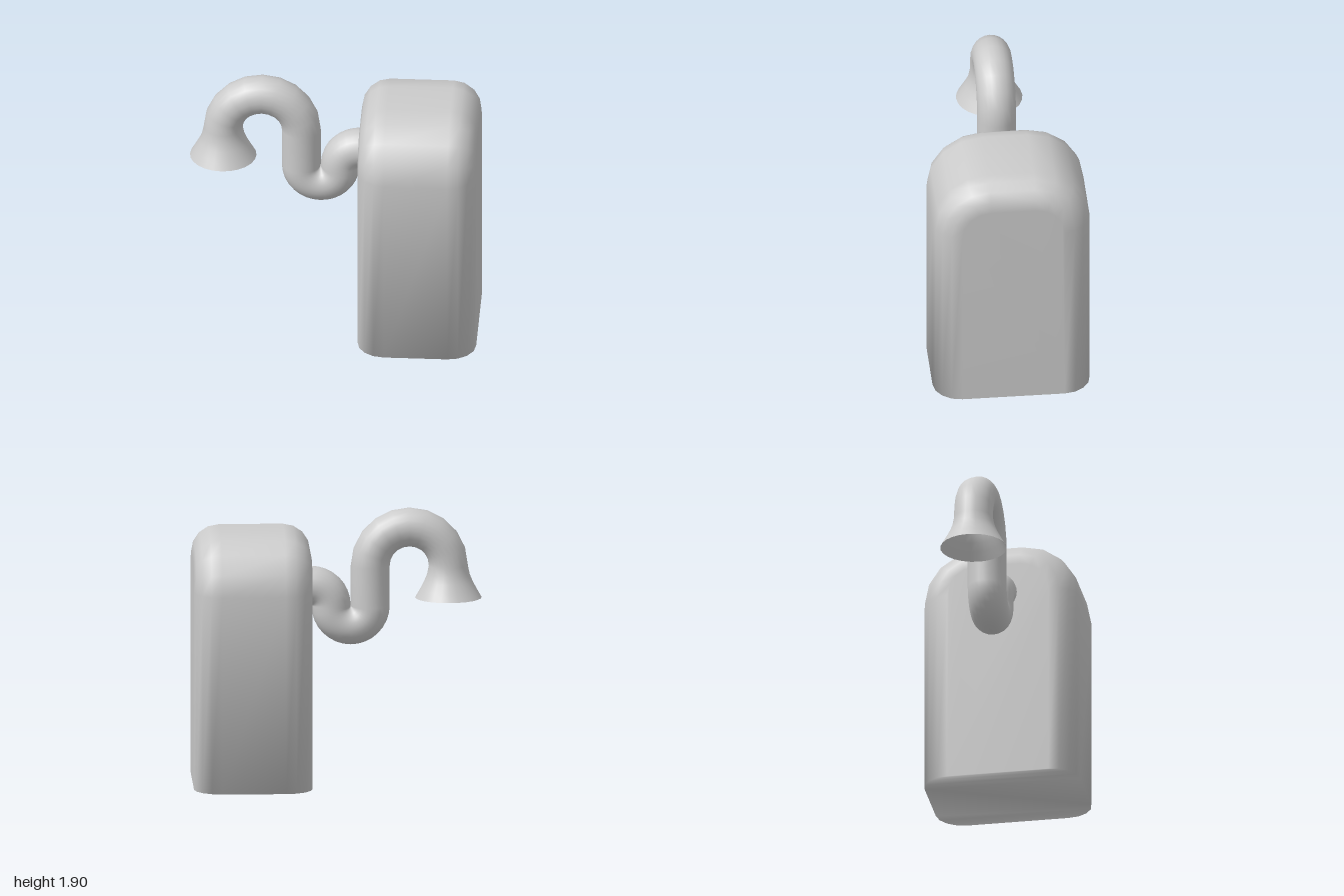
import * as THREE from 'three';

// Skin a list of closed rings (counter-clockwise about the direction of travel).
function loft(rings, capped) {
  const n = rings[0].length;
  const index = [];
  for (let i = 0; i < rings.length - 1; i++) {
    for (let j = 0; j < n; j++) {
      const a = i * n + j, b = i * n + (j + 1) % n;
      index.push(a, b, a + n, b, b + n, a + n);
    }
  }
  if (capped) {
    const last = (rings.length - 1) * n;
    for (let j = 1; j < n - 1; j++) {
      index.push(0, j + 1, j, last, last + j, last + j + 1);
    }
  }
  const geometry = new THREE.BufferGeometry();
  geometry.setAttribute('position', new THREE.Float32BufferAttribute(rings.flat(2), 3));
  geometry.setIndex(index);
  geometry.computeVertexNormals();
  return geometry;
}

// Arch-shaped outline in the y-z plane, shrunk by an inset but standing on y = 0.
function archRing(x, inset) {
  const steps = 4, radius = 0.39 - inset, cz = 0.155, cy = 1.38;
  const ring = [[x, 0, -cz - radius]];
  for (const side of [-1, 1]) {
    for (let i = 0; i <= steps; i++) {
      const a = Math.PI / 2 * (side < 0 ? 2 - i / steps : 1 - i / steps);
      ring.push([x, cy + radius * Math.sin(a), side * cz + radius * Math.cos(a)]);
    }
  }
  ring.push([x, 0, cz + radius]);
  return ring;
}

// Body: the arch run along x, with rounded ends.
function bodyGeometry() {
  const steps = 4, bevel = 0.19, middle = 0.59, half = 0.41;
  const rings = [];
  for (const side of [-1, 1]) {
    for (let i = 0; i <= steps; i++) {
      const a = Math.PI / 2 * (side < 0 ? 1 - i / steps : i / steps);
      rings.push(archRing(middle + side * (half - bevel + bevel * Math.sin(a)), bevel * (1 - Math.cos(a))));
    }
  }
  return loft(rings, true);
}

// Pipe: flared mouth, large arch, U-bend and a quarter bend into the body.
function pipeGeometry() {
  const sides = 24, r = 0.135, rings = [];
  const addRing = (x, y, heading, radius = r) => {
    const ring = [];
    for (let j = 0; j < sides; j++) {
      const t = j / sides * Math.PI * 2, n = radius * Math.cos(t);
      ring.push([x - n * Math.sin(heading), y + n * Math.cos(heading), radius * Math.sin(t)]);
    }
    rings.push(ring);
  };
  const addBend = (cx, cy, radius, from, to, steps) => {
    const turn = Math.sign(to - from) * Math.PI / 2;
    for (let i = 0; i <= steps; i++) {
      const a = from + (to - from) * i / steps;
      addRing(cx + radius * Math.cos(a), cy + radius * Math.sin(a), a + turn);
    }
  };

  for (const [y, radius] of [[1.275, 0.23], [1.335, 0.196], [1.39, 0.167], [1.44, 0.147]]) {
    addRing(-0.77, y, Math.PI / 2, radius);
  }
  addBend(-0.5, 1.5, 0.27, Math.PI, 0, 10);
  addBend(-0.095, 1.22, 0.135, Math.PI, 2 * Math.PI, 16);
  rings.pop(); // the quarter bend starts where the U-bend ends
  addBend(0.18, 1.225, 0.14, Math.PI, Math.PI / 2, 8);
  addRing(0.22, 1.365, 0);
  return loft(rings, false);
}

export function createModel() {
  const model = new THREE.Group();
  model.name = 'boxWithCurvedPipe';

  const body = new THREE.Mesh(bodyGeometry(), new THREE.MeshStandardMaterial({ color: 0xcccccc }));
  body.name = 'body';

  const pipe = new THREE.Mesh(
    pipeGeometry(),
    new THREE.MeshStandardMaterial({ color: 0xcccccc, side: THREE.DoubleSide })
  );
  pipe.name = 'curvedPipe';

  model.add(body, pipe);
  return model;
}
